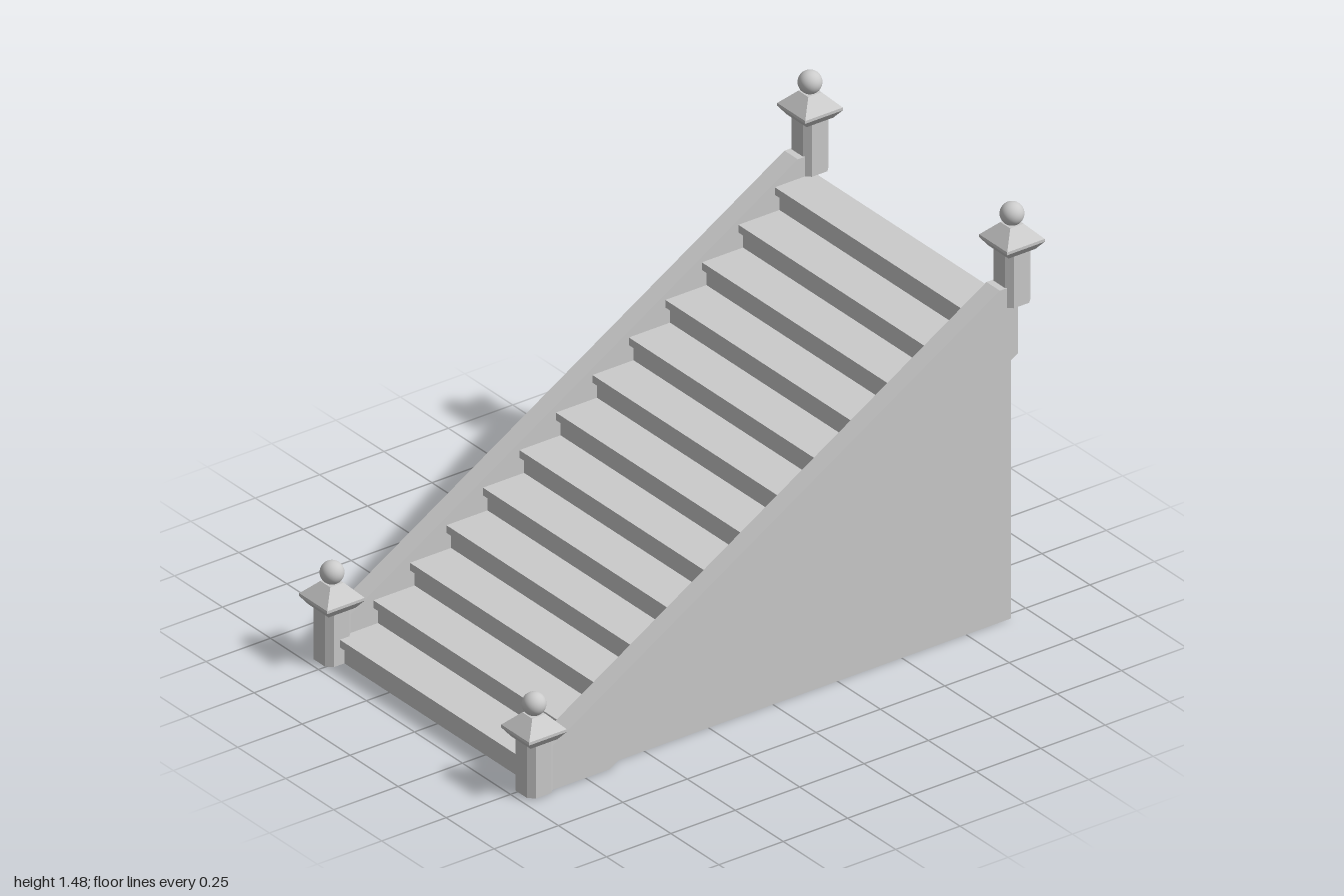
import * as THREE from 'three';

const material = new THREE.MeshStandardMaterial({ color: 0xcccccc, flatShading: true });
const smooth = new THREE.MeshStandardMaterial({ color: 0xcccccc });
const thin = new THREE.MeshStandardMaterial({ color: 0xcccccc, side: THREE.DoubleSide });

const SIDE_X = 0.526;   // centre line of stringers and posts
const POST_Z = 0.928;
const STEPS = 13, RUN = 0.1417, RISE = 0.0867;

function add(parent, name, geometry, x = 0, y = 0, z = 0, mat = material) {
  const mesh = new THREE.Mesh(geometry, mat);
  mesh.name = name;
  mesh.position.set(x, y, z);
  parent.add(mesh);
  return mesh;
}

// Shape from [z, y] points, to be turned into the side plane
function sideShape(points) {
  return new THREE.Shape(points.map(([z, y]) => new THREE.Vector2(-z, y)));
}

// Square frustum with half widths at top and bottom
function frustum(top, bottom, y0, y1) {
  const g = new THREE.CylinderGeometry(top * Math.SQRT2, bottom * Math.SQRT2, y1 - y0, 4);
  return g.rotateY(Math.PI / 4).translate(0, (y0 + y1) / 2, 0);
}

// Newel post: chamfered shaft, flared square cap and ball
function createPost() {
  const post = new THREE.Group();
  post.name = 'newelPost';
  const h = 0.05, c = 0.03;
  const outline = new THREE.Shape([
    [h, -c], [h, c], [c, h], [-c, h], [-h, c], [-h, -c], [-c, -h], [c, -h],
  ].map(([x, y]) => new THREE.Vector2(x, y)));
  const shaft = new THREE.ExtrudeGeometry(outline, { depth: 0.195, bevelEnabled: false });
  add(post, 'postShaft', shaft.rotateX(-Math.PI / 2));
  add(post, 'capUnderside', frustum(0.073, 0.052, 0.185, 0.213));
  add(post, 'capRim', frustum(0.073, 0.073, 0.213, 0.223));
  add(post, 'capRoof', frustum(0.026, 0.073, 0.223, 0.272));
  add(post, 'ballFinial', new THREE.SphereGeometry(0.039, 24, 16), 0, 0.306, 0, smooth);
  return post;
}

export function createModel() {
  const model = new THREE.Group();
  model.name = 'staircase';

  // Treads with nosing, and risers
  const width = 2 * 0.5, nosing = 0.018, thick = 0.027, board = 0.012;
  for (let i = 0; i < STEPS; i++) {
    const front = 0.935 - i * RUN;
    const top = 0.095 + i * RISE;
    const back = i === STEPS - 1 ? -0.92 : front - RUN - nosing - board;
    add(model, 'tread', new THREE.BoxGeometry(width, thick, front - back),
      0, top - thick / 2, (front + back) / 2);
    const bottom = i === 0 ? 0.005 : top - RISE;
    const height = top - thick - bottom;
    add(model, 'riser', new THREE.BoxGeometry(width, height, board),
      0, bottom + height / 2, front - nosing - board / 2);
  }

  // Sloping stringers and the thin wall panels beneath them
  const stringer = sideShape([
    [0.935, 0.004], [0.66, 0.004], [-0.925, 0.96], [-0.925, 1.205], [-0.855, 1.205], [0.935, 0.128],
  ].reverse());
  const panel = sideShape([[0.66, 0], [-0.925, 0], [-0.925, 0.965]]);
  const stringerWidth = 0.07;
  for (const side of [-1, 1]) {
    const beam = new THREE.ExtrudeGeometry(stringer, { depth: stringerWidth, bevelEnabled: false });
    add(model, 'stringer', beam.rotateY(Math.PI / 2), side * SIDE_X - stringerWidth / 2);
    add(model, 'sidePanel', new THREE.ShapeGeometry(panel).rotateY(Math.PI / 2),
      side * SIDE_X, 0, 0, thin);

    // Posts at the foot and the head of the stair
    for (const [y, z] of [[0.005, POST_Z], [1.135, -POST_Z]]) {
      const post = createPost();
      post.position.set(side * SIDE_X, y, z);
      model.add(post);
    }
  }
  return model;
}
